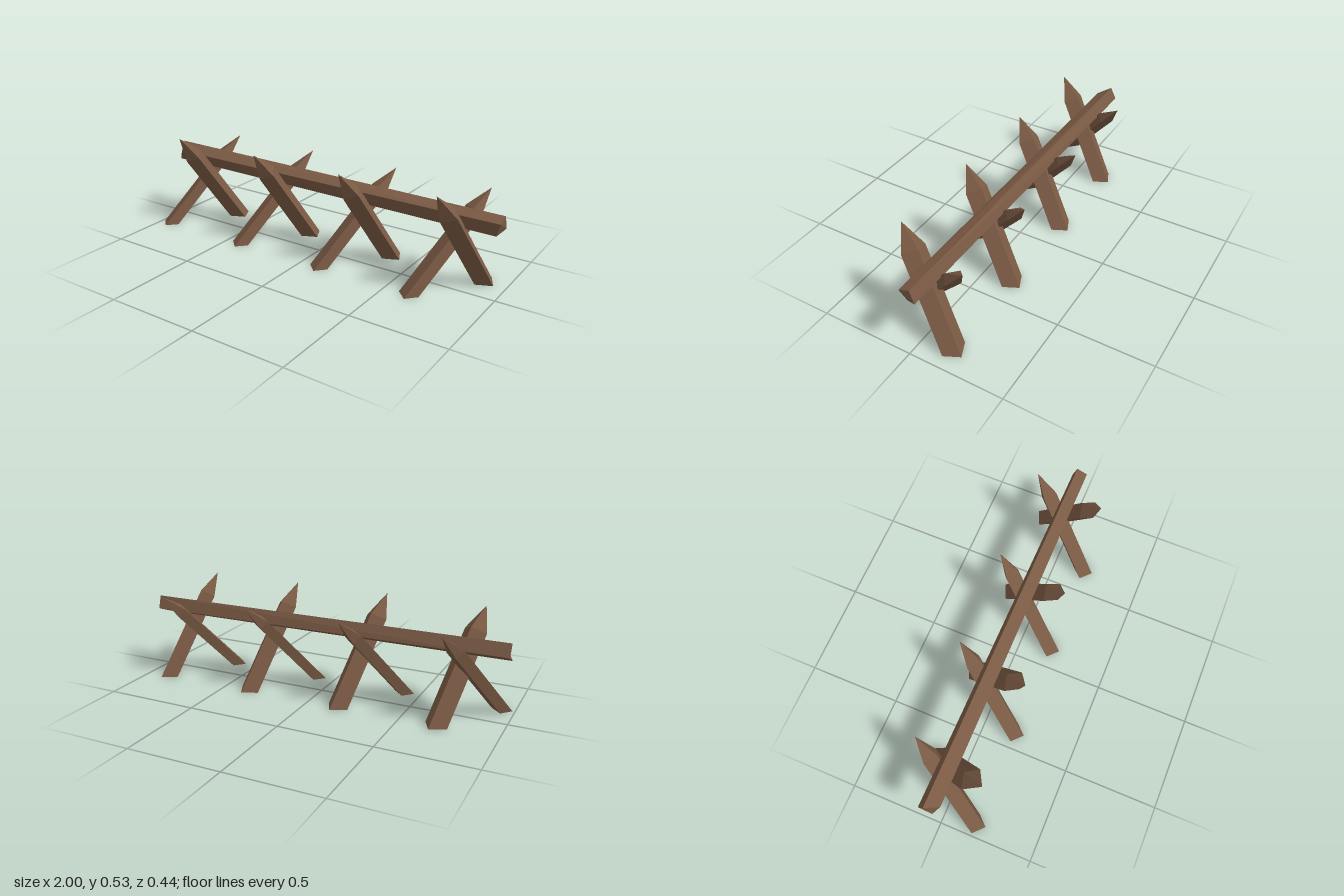
import * as THREE from 'three';

const V = (x, y, z) => new THREE.Vector3(x, y, z);

// Skin a list of four-cornered rings (counterclockwise seen from the far end);
// the last ring may be a single point.
function loft(rings) {
  const pts = [];
  const tri = (a, b, c) => pts.push(a, b, c);
  for (let r = 0; r < rings.length - 1; r++) {
    const a = rings[r], b = rings[r + 1];
    for (let i = 0; i < 4; i++) {
      const j = (i + 1) % 4;
      if (b.length === 1) tri(a[i], a[j], b[0]);
      else { tri(a[i], a[j], b[j]); tri(a[i], b[j], b[i]); }
    }
  }
  const s = rings[0], e = rings[rings.length - 1];
  tri(s[0], s[2], s[1]); tri(s[0], s[3], s[2]);
  if (e.length === 4) { tri(e[0], e[1], e[2]); tri(e[0], e[2], e[3]); }
  const g = new THREE.BufferGeometry().setFromPoints(pts);
  g.computeVertexNormals();
  return g;
}

// Leaning square stake: foot cut level with the ground, shoulder cut square
// to its axis, then sharpened to a tip.
function stakeGeometry({ foot, cornerA, cornerB, lean, shoulderY, tip }) {
  const n = lean.clone().normalize();
  const offsets = [cornerA, cornerB, cornerA.clone().negate(), cornerB.clone().negate()];
  const base = offsets.map(o => foot.clone().add(o));
  const length = shoulderY / n.y;
  const shoulder = offsets.map((o, i) => base[i].clone().addScaledVector(n, length - o.dot(n)));
  return loft([base, shoulder, [tip]]);
}

export function createModel() {
  const model = new THREE.Group();
  model.name = 'spikedBarricade';
  const wood = new THREE.MeshStandardMaterial({ color: 0x7a5a44, flatShading: true });
  wood.name = 'brown wood';

  const add = (parent, name, geometry) => {
    const mesh = new THREE.Mesh(geometry, wood);
    mesh.name = name;
    parent.add(mesh);
  };

  // Positions are relative to the first crossed pair
  const forward = stakeGeometry({
    foot: V(-0.69, 0, -0.159), cornerA: V(0.061, 0, 0.022), cornerB: V(0.022, 0, -0.058),
    lean: V(-0.235, 1, 0.62), shoulderY: 0.421, tip: V(-0.815, 0.533, 0.177),
  });
  const backward = stakeGeometry({
    foot: V(-0.934, 0, 0.168), cornerA: V(0.053, 0, 0), cornerB: V(-0.003, 0, -0.054),
    lean: V(0.465, 1, -0.79), shoulderY: 0.379, tip: V(-0.712, 0.474, -0.22),
  });

  // Four crossed pairs
  for (let i = 0; i < 4; i++) {
    const pair = new THREE.Group();
    pair.name = 'crossedStakes' + (i + 1);
    pair.position.x = i * 0.522;
    add(pair, 'forwardStake', forward);
    add(pair, 'backwardStake', backward);
    model.add(pair);
  }

  // Rough-cut beam resting in the crossings
  add(model, 'beam', loft([
    [V(-0.96, 0.397, 0.019), V(-1, 0.334, -0.012), V(-1, 0.37, -0.083), V(-1, 0.433, -0.05)],
    [V(1, 0.398, 0.016), V(0.976, 0.325, -0.006), V(1, 0.35, -0.064), V(1, 0.42, -0.042)],
  ]));

  return model;
}
